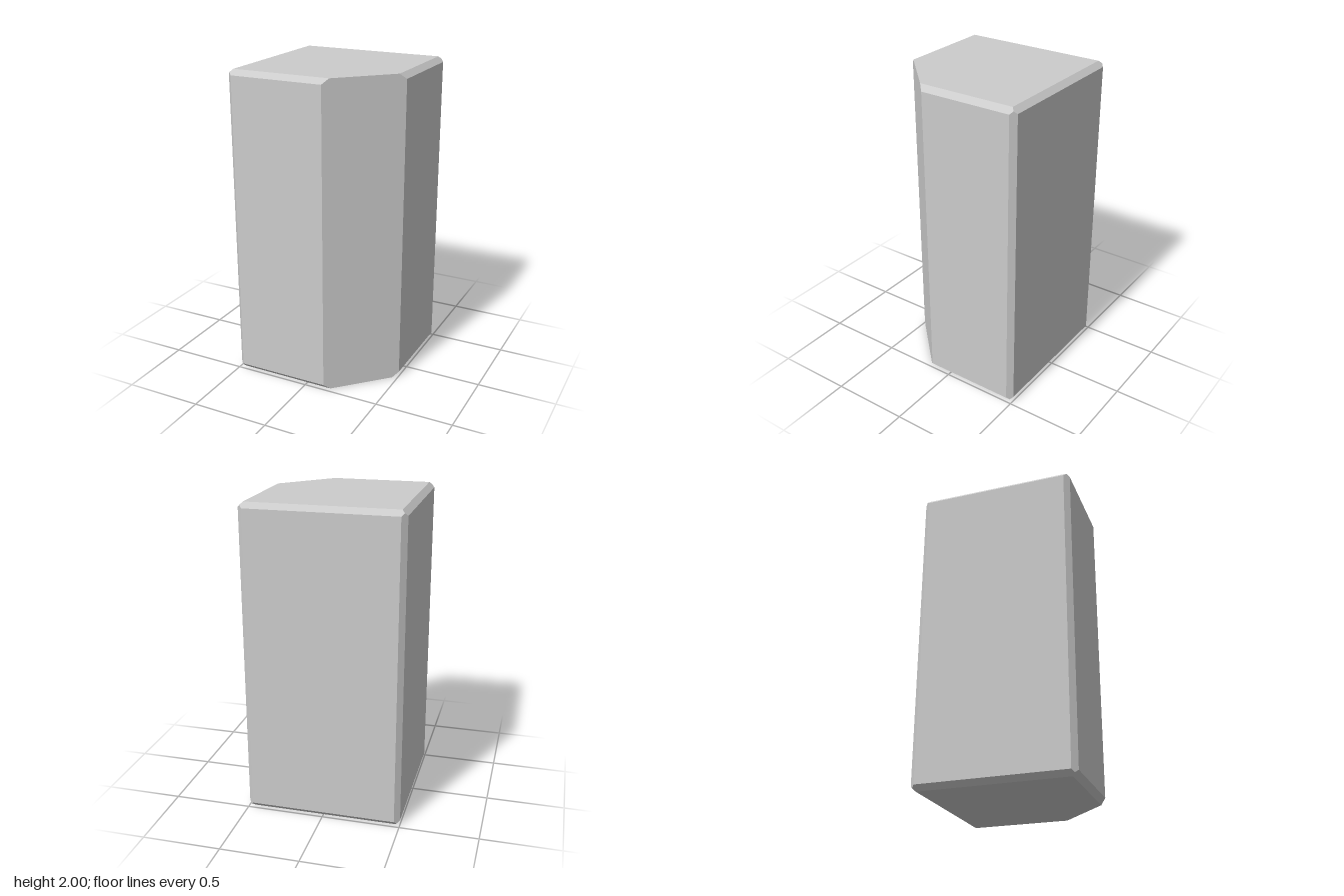
import * as THREE from 'three';
import { ConvexGeometry } from 'three/addons/geometries/ConvexGeometry.js';

export function createModel() {
  const half = 0.5, height = 1;    // half width/depth, half height
  const bevel = 1 / 30;            // edge chamfer
  const cut = 0.6333;              // vertical cut plane: x + z = cut
  const a = half - bevel, b = height - bevel;
  const points = [];
  const add = (x, y, z) => points.push(new THREE.Vector3(x, y + height, z));

  for (const sy of [-1, 1]) {
    // three square corners, each where three chamfers meet
    for (const [sx, sz] of [[-1, 1], [-1, -1], [1, -1]]) {
      add(sx * half, sy * b, sz * a);
      add(sx * a, sy * height, sz * a);
      add(sx * a, sy * b, sz * half);
      add(sx * (half - bevel / 2), sy * (height - bevel / 2), sz * (half - bevel / 2));
    }
    // ends of the broad cut across the front left corner
    add(half, sy * b, cut - half);
    add(a, sy * height, cut - a);
    add(cut - half, sy * b, half);
    add(cut - a, sy * height, a);
  }

  const material = new THREE.MeshStandardMaterial({ color: 0xcccccc, flatShading: true });
  const block = new THREE.Mesh(new ConvexGeometry(points), material);
  block.name = 'chamferedBlock';

  const group = new THREE.Group();
  group.name = 'cutCornerPillar';
  group.add(block);
  return group;
}
